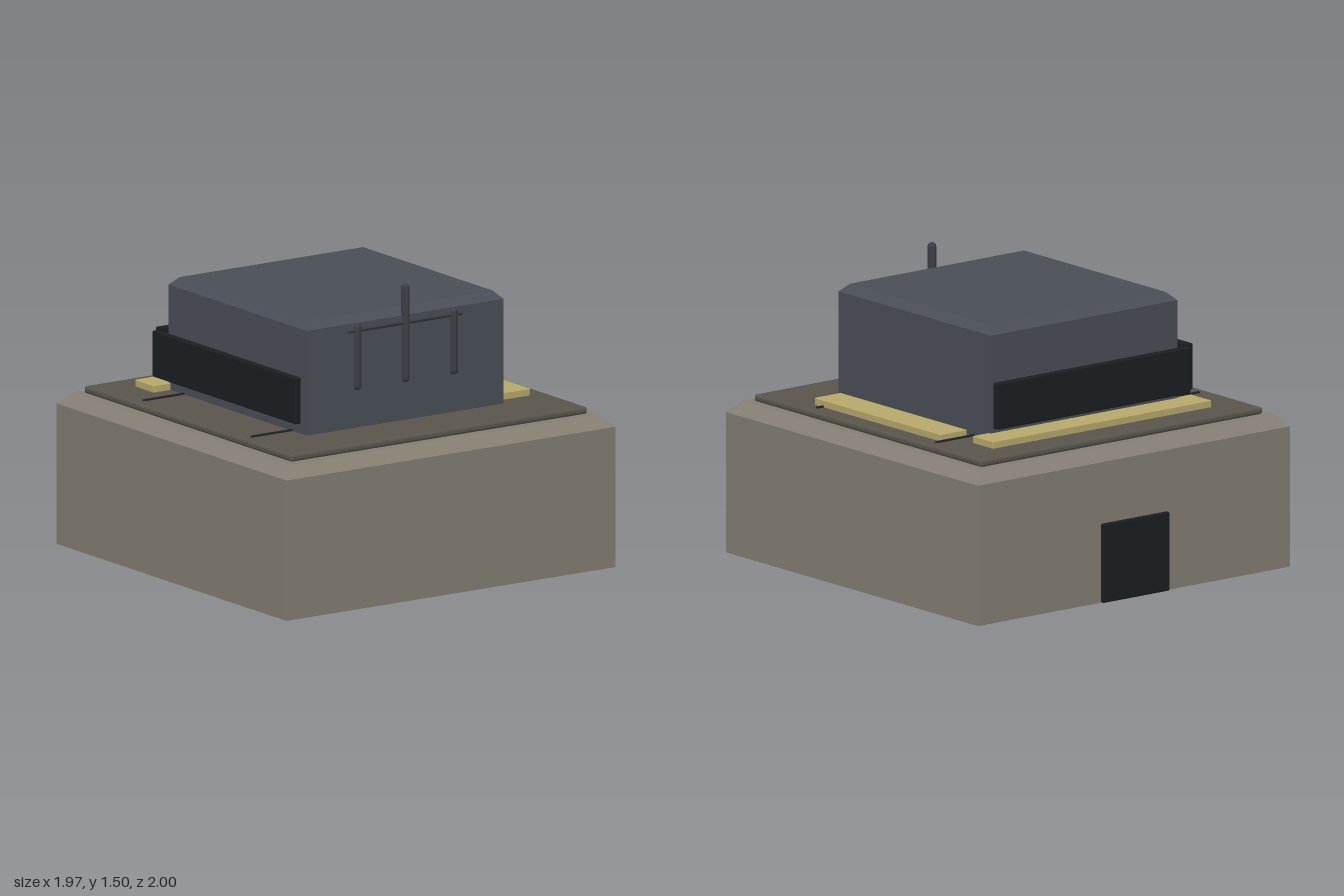
import * as THREE from 'three';
import { RoundedBoxGeometry } from 'three/addons/geometries/RoundedBoxGeometry.js';

const material = (color) => new THREE.MeshStandardMaterial({ color, flatShading: true });
const concrete = material(0x857f74);
const slab = material(0x5a564d);
const steel = material(0x4a4f57);
const dark = material(0x1b1f23);
const pipeGrey = material(0x3b4046);
const gold = material(0xb9aa6c);

export function createModel() {
  const model = new THREE.Group();

  function add(name, geometry, mat, x = 0, y = 0, z = 0) {
    const mesh = new THREE.Mesh(geometry, mat);
    mesh.name = name;
    mesh.position.set(x, y, z);
    model.add(mesh);
    return mesh;
  }

  // Box given by its limits, edges softened by a small radius
  function softBox(name, mat, [x0, x1], [y0, y1], [z0, z1], radius) {
    const geometry = new RoundedBoxGeometry(x1 - x0, y1 - y0, z1 - z0, 1, radius);
    return add(name, geometry, mat, (x0 + x1) / 2, (y0 + y1) / 2, (z0 + z1) / 2);
  }

  // Block with a chamfer around its top: the top ring of a two-row box is
  // drawn in, the middle ring marks where the chamfer starts
  function chamferedBlock(name, mat, width, y0, y1, [z0, z1], inset, drop) {
    const depth = z1 - z0;
    const geometry = new THREE.BoxGeometry(width, 2, depth, 1, 2, 1);
    const p = geometry.attributes.position;
    for (let i = 0; i < p.count; i++) {
      const level = p.getY(i);
      if (level > 0.5) {
        p.setX(i, p.getX(i) - Math.sign(p.getX(i)) * inset);
        p.setZ(i, p.getZ(i) - Math.sign(p.getZ(i)) * inset);
      }
      p.setY(i, level > 0.5 ? y1 : level < -0.5 ? y0 : y1 - drop);
    }
    const flat = geometry.toNonIndexed();
    flat.computeVertexNormals();
    return add(name, flat, mat, 0, 0, (z0 + z1) / 2);
  }

  // Base, deck and upper housing
  chamferedBlock('base', concrete, 1.974, 0, 0.77, [-0.98, 0.995], 0.058, 0.06);
  softBox('deck', slab, [-0.89, 0.89], [0.768, 0.805], [-0.885, 0.895], 0.012);
  chamferedBlock('housing', steel, 1.18, 0.8, 1.375, [-0.587, 0.603], 0.04, 0.04);

  // Side and back panels standing off the housing
  softBox('backPanel', dark, [-0.612, 0.612], [0.875, 1.11], [-0.668, -0.632], 0.007);
  softBox('sidePanel', dark, [-0.672, -0.636], [0.875, 1.11], [-0.61, 0.62], 0.007);

  // Raised strips on the deck
  const strips = [
    ['backStrip', [-0.69, 0.69], [-0.73, -0.57]],
    ['sideStrip', [0.63, 0.795], [-0.45, 0.537]],
  ];
  for (const [name, xs, zs] of strips) softBox(name, gold, xs, [0.8, 0.84], zs, 0.003);

  // Service hatch at the back
  softBox('hatch', dark, [-0.21, 0.21], [0, 0.4], [-1, -0.975], 0.007);

  // Rods lying across the deck
  for (const z of [-0.457, 0.472]) {
    const rod = add('deckRod', new THREE.CapsuleGeometry(0.012, 1.65, 3, 8), dark, 0, 0.802, z);
    rod.rotation.z = Math.PI / 2;
  }

  // Front pipes: two short, one tall, joined by a bar
  const pipes = [[-0.29, 1.335], [0, 1.495], [0.29, 1.335]];
  for (const [x, top] of pipes) {
    const length = top - 0.995;
    add('frontPipe', new THREE.CapsuleGeometry(0.022, length - 0.044, 3, 8), pipeGrey, x, 0.995 + length / 2, 0.603);
  }
  const bar = add('pipeBar', new THREE.CapsuleGeometry(0.014, 0.662, 3, 8), pipeGrey, 0, 1.3, 0.601);
  bar.rotation.z = Math.PI / 2;

  return model;
}
